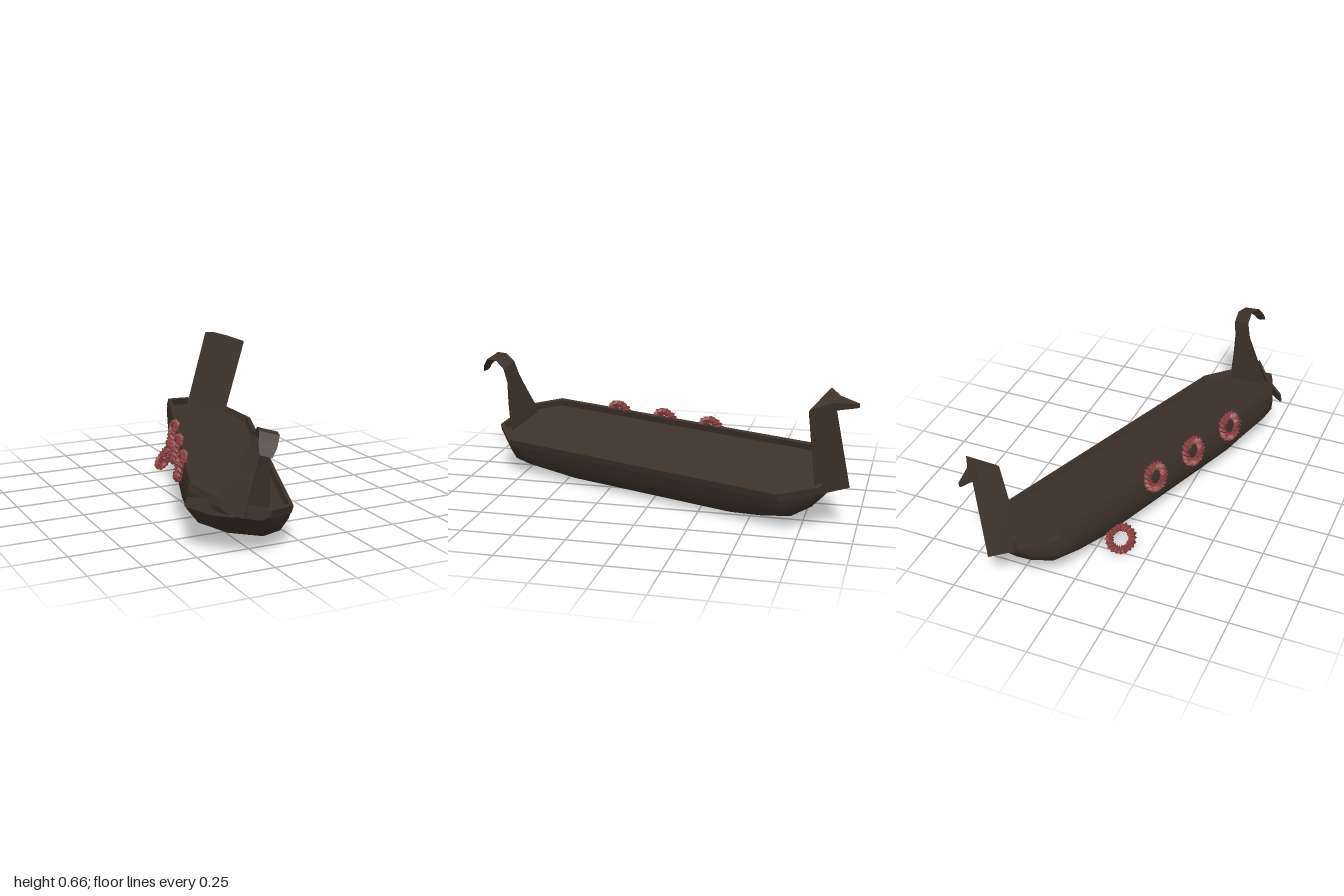
import * as THREE from 'three';
import { toCreasedNormals } from 'three/addons/utils/BufferGeometryUtils.js';

const wood = new THREE.MeshStandardMaterial({ color: 0x3d322a, side: THREE.DoubleSide });
const red = new THREE.MeshStandardMaterial({ color: 0x8a4040, side: THREE.DoubleSide });

// Skin a row of cross-sections (arrays of [x, y, z]) and cap both ends
function loft(sections, closed = true, crease = 0.3) {
  const n = sections[0].length, last = (sections.length - 1) * n, index = [];
  for (let i = 0; i < sections.length - 1; i++) {
    for (let j = 0; j < (closed ? n : n - 1); j++) {
      const k = (j + 1) % n, a = i * n + j, b = i * n + k;
      index.push(a, a + n, b, b, a + n, b + n);
    }
  }
  for (let j = 1; j < n - 1; j++) {
    index.push(0, j, j + 1, last, last + j + 1, last + j);
  }
  const g = new THREE.BufferGeometry();
  g.setAttribute('position', new THREE.Float32BufferAttribute(sections.flat(2), 3));
  g.setIndex(index);
  return toCreasedNormals(g, crease);
}

// Long octagon seen from above, shrunk by an inset
function octagon(inset, Type = THREE.Shape) {
  const w = 0.235 - inset, c = 0.115 - inset * 0.5, l = 0.93 - inset, s = 0.78 - inset * 0.5;
  return new Type([[w, -s], [w, s], [c, l], [-c, l], [-w, s], [-w, -s], [-c, -l], [c, -l]]
    .map(([x, y]) => new THREE.Vector2(x, y)));
}

function slab(shape, top, height) {
  const g = new THREE.ExtrudeGeometry(shape, { depth: height, bevelEnabled: false });
  return g.rotateX(-Math.PI / 2).translate(0, top - height, 0);
}

// Ragged ring: a torus whose tube swells and shrinks into leaf points
function wreathGeometry() {
  const R = 0.056, g = new THREE.TorusGeometry(R, 0.018, 6, 40);
  const p = g.attributes.position;
  for (let i = 0; i < p.count; i++) {
    const ring = i % 41, side = Math.floor(i / 41) % 6, a = (ring % 40) / 40 * Math.PI * 2;
    const k = 1 + 0.28 * ((ring + side) % 2 ? 1 : -1) + 0.12 * Math.sin(a * 7 + side * 2);
    const cx = Math.cos(a) * R, cy = Math.sin(a) * R;
    p.setXYZ(i, cx + (p.getX(i) - cx) * k, cy + (p.getY(i) - cy) * k, p.getZ(i) * k);
  }
  return toCreasedNormals(g, 0.1);
}

export function createModel() {
  const model = new THREE.Group();
  const boat = new THREE.Group();
  boat.name = 'boat';
  // The boat lies turned and heeled to one side
  boat.position.set(-0.01, 0.25, 0);
  boat.rotation.set(0, -0.346, -0.258);
  model.add(boat);

  const add = (name, geometry, material = wood, parent = boat) => {
    const mesh = new THREE.Mesh(geometry, material);
    mesh.name = name;
    parent.add(mesh);
    return mesh;
  };

  // Hull: one rounded profile scaled by half width and depth at each station
  const profile = [[1, 0], [0.97, -0.35], [0.88, -0.68], [0.6, -0.92], [0, -1],
    [-0.6, -0.92], [-0.88, -0.68], [-0.97, -0.35], [-1, 0]];
  const stations = [[-0.93, 0.115, 0.07], [-0.87, 0.166, 0.135], [-0.78, 0.235, 0.185],
    [-0.62, 0.235, 0.22], [-0.45, 0.235, 0.24], [0.47, 0.235, 0.24], [0.7, 0.235, 0.21],
    [0.78, 0.235, 0.18], [0.87, 0.166, 0.12], [0.93, 0.115, 0.06]];
  add('hull', loft(stations.map(([z, w, d]) => profile.map(([x, y]) => [x * w, y * d, z])), false, 0.7));

  // Raised rim around a flat deck
  const rim = octagon(0);
  rim.holes.push(octagon(0.02, THREE.Path));
  add('rim', slab(rim, 0.002, 0.034));
  add('deck', slab(octagon(0.012), -0.03, 0.01));

  // Stern post: a wedge with its ridge facing aft
  const wedge = (y, w, edge, ridge) => [[w, y, edge], [-w, y, edge], [0, y, ridge]];
  add('sternPost', loft([wedge(-0.05, 0.11, -0.9, -1.02), wedge(0.385, 0.112, -0.91, -0.985)]));

  // Pointed beak on top of the stern post
  const beak = [[-0.915, 0.11, 0.37, 0.392], [-0.985, 0.035, 0.35, 0.39], [-1.08, 0.006, 0.355, 0.372]];
  add('sternBeak', loft(beak.map(([z, w, lo, hi], i) => {
    const x = -0.018 * i;
    return [[x + w, lo, z], [x + w, hi, z], [x - w, hi, z], [x - w, lo, z]];
  })));

  // Bow neck: tapering wedge that curls forward into a hooked head
  // [half width, edge y, edge z, ridge y, ridge z]
  const neck = [[0.115, -0.06, 0.86, -0.06, 0.94], [0.108, 0.02, 0.865, 0, 0.935],
    [0.08, 0.12, 0.875, 0.12, 0.925], [0.05, 0.225, 0.88, 0.225, 0.92],
    [0.046, 0.3, 0.89, 0.285, 0.925], [0.045, 0.342, 0.93, 0.31, 0.945],
    [0.045, 0.342, 0.99, 0.315, 0.98], [0.04, 0.295, 1.03, 0.288, 1.012],
    [0.028, 0.255, 1.05, 0.255, 1.04]];
  add('bowNeck', loft(neck.map(([w, y, z, ry, rz]) => [[-w, y, z], [w, y, z], [0, ry, rz]]), true, 0.45));

  // Thin fin on one cheek of the bow
  const fin = (x, lo, hi, z) => [[x, lo, z], [x, hi, z], [x, hi, z - 0.015], [x, lo, z - 0.015]];
  add('bowFin', loft([fin(-0.24, -0.093, -0.053, 0.835), fin(-0.12, -0.085, -0.02, 0.9),
    fin(-0.035, -0.06, 0.063, 0.945)]));

  // Three wreaths hang along one side, a fourth has dropped off
  const wreath = wreathGeometry();
  [0.41, 0.125, -0.15].forEach((z, i) => {
    const mesh = add('wreath' + (i + 1), wreath, red);
    mesh.position.set(-0.243, -0.035, z);
    mesh.rotation.set(0, -Math.PI / 2, i * 0.8);
  });
  const fallen = add('fallenWreath', wreath, red, model);
  fallen.position.set(-0.12, 0.08, -0.49);
  fallen.lookAt(-0.69, 0.5, -1.2);
  return model;
}
